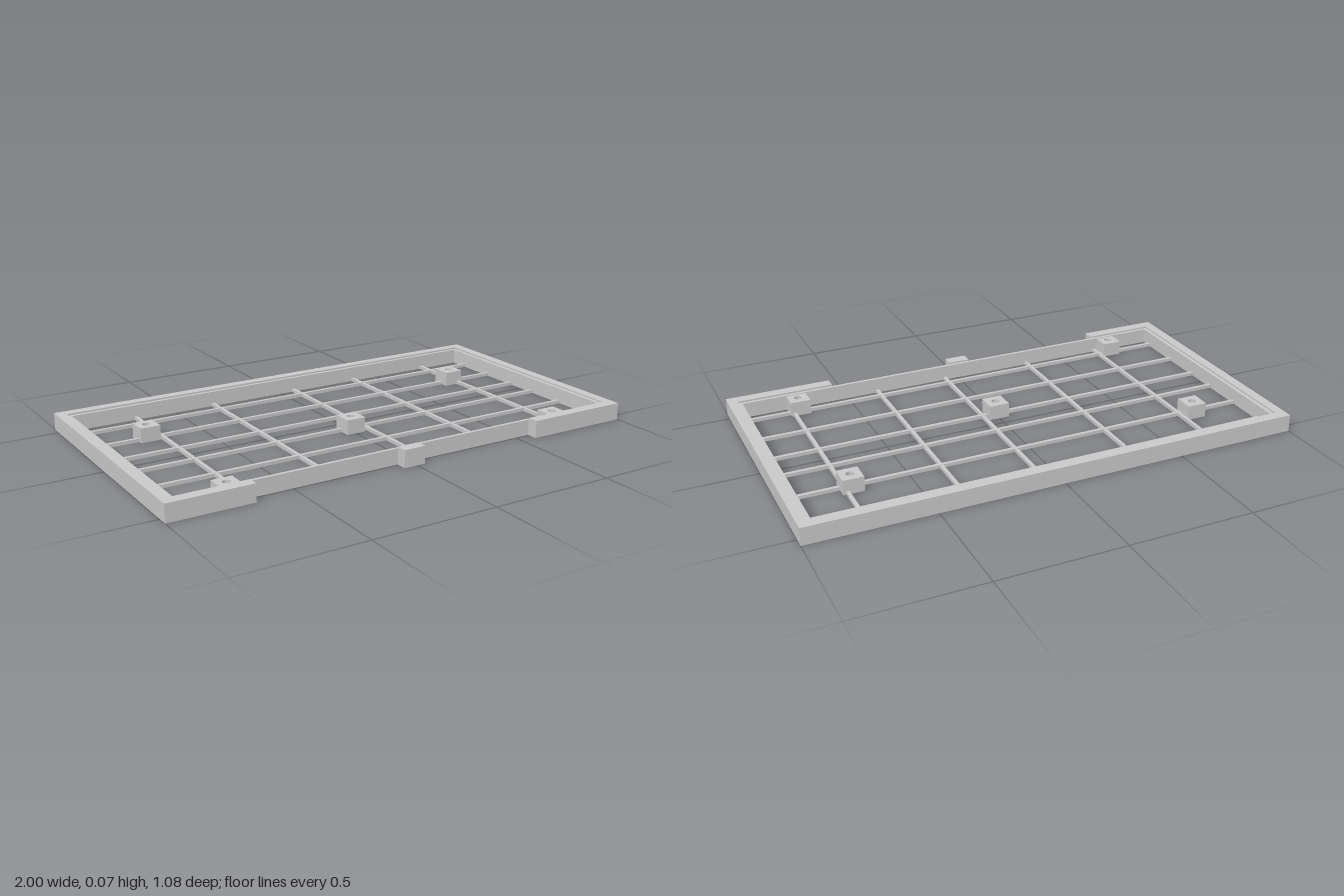
import * as THREE from 'three';

export function createModel() {
  const model = new THREE.Group();
  const grey = new THREE.MeshStandardMaterial({ color: 0xc8c8c8 });
  grey.name = 'plain grey';

  const add = (name, geometry) => {
    const mesh = new THREE.Mesh(geometry, grey);
    mesh.name = name;
    model.add(mesh);
    return mesh;
  };
  const box = (name, x0, x1, y0, y1, z0, z1) =>
    add(name, new THREE.BoxGeometry(x1 - x0, y1 - y0, z1 - z0))
      .position.set((x0 + x1) / 2, (y0 + y1) / 2, (z0 + z1) / 2);
  // Plan outlines are given as [x, z], counter-clockwise from above, and raised from the ground
  const points = (list) => list.map(([x, z]) => new THREE.Vector2(x, -z));
  const rect = (x, z0, z1) => points([[-x, z1], [x, z1], [x, z0], [-x, z0]]);
  const raise = (shape, height) =>
    new THREE.ExtrudeGeometry(shape, { depth: height, bevelEnabled: false, curveSegments: 12 })
      .rotateX(-Math.PI / 2);

  // Outer wall, open along most of the front
  add('outerWall', raise(new THREE.Shape(points([
    [-0.665, 0.542], [-0.665, 0.497], [-0.96, 0.497], [-0.96, -0.502], [0.96, -0.502], [0.96, 0.497],
    [0.565, 0.497], [0.565, 0.542], [1, 0.542], [1, -0.542], [-1, -0.542], [-1, 0.542],
  ])), 0.07));
  box('frontTab', -0.057, 0.034, 0, 0.07, 0.497, 0.542);

  // Slightly lower lip running all the way round the inside
  const lip = new THREE.Shape(rect(0.96, -0.502, 0.497));
  lip.holes.push(new THREE.Path(rect(0.945, -0.488, 0.484).reverse()));
  add('innerLip', raise(lip, 0.063));

  // Grid of thin bars
  const half = 0.007, barHeight = 0.014;
  for (const z of [-0.41, -0.237, -0.064, 0.076, 0.25, 0.433])
    box('longBar', -0.945, 0.945, 0, barHeight, z - half, z + half);
  for (const x of [-0.677, -0.33, 0.061, 0.371, 0.751])
    box('crossBar', x - half, x + half, 0, barHeight - 0.0005, -0.488, 0.484);

  // Drilled mounting blocks
  for (const [x, z] of [[-0.729, -0.252], [0.727, -0.243], [0, 0.084], [-0.732, 0.453], [0.724, 0.453]]) {
    const shape = new THREE.Shape(rect(0.041, -0.041, 0.041));
    shape.holes.push(new THREE.Path().absarc(0, 0, 0.016, 0, Math.PI * 2, true));
    add('mountingBlock', raise(shape, 0.06)).position.set(x, 0, z);
  }
  return model;
}
